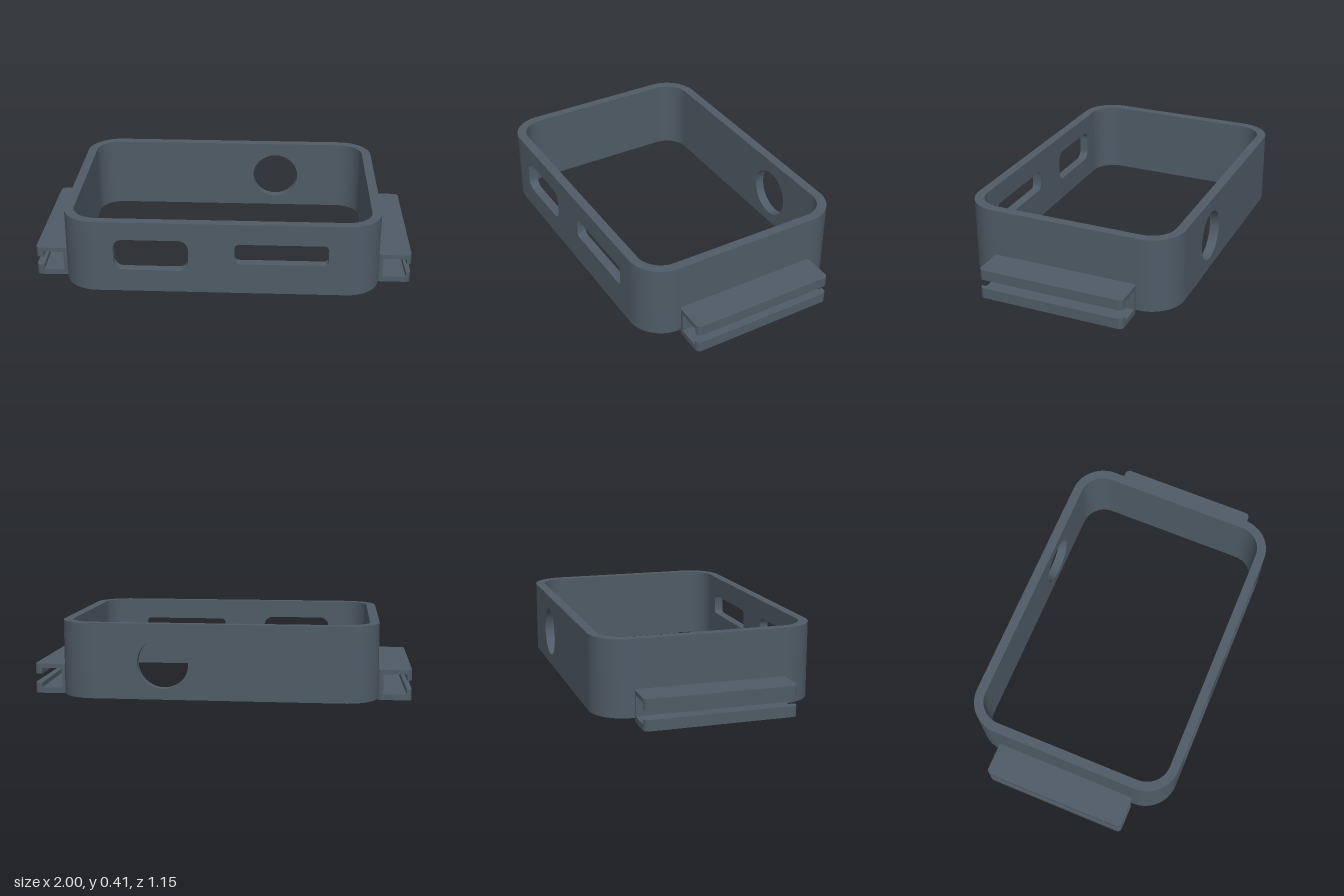
import * as THREE from 'three';
import { toCreasedNormals } from 'three/addons/utils/BufferGeometryUtils.js';

const slate = new THREE.MeshStandardMaterial({ color: 0x4f5b66 });
slate.name = 'slate';

// Frame: half width, half depth, wall, corner radius, bottom and top
const W = 0.827, D = 0.576, T = 0.05, R = 0.18, Y0 = 0.015, Y1 = 0.408;

// Rounded rectangle; radii run bottom left, bottom right, top right, top left
function roundRect(path, x0, y0, x1, y1, radii) {
  const corners = [[x0, y0, 1, 1], [x1, y0, -1, 1], [x1, y1, -1, -1], [x0, y1, 1, -1]];
  corners.forEach(([x, y, sx, sy], i) => {
    const r = radii[i], a = Math.PI * (1 + i / 2);
    if (r) path.absarc(x + sx * r, y + sy * r, r, a, a + Math.PI / 2, false);
    else if (i) path.lineTo(x, y);
    else path.moveTo(x, y);
  });
  path.closePath();
  return path;
}

function extrude(name, shape, depth) {
  const geo = new THREE.ExtrudeGeometry(shape, { depth, bevelEnabled: false, curveSegments: 16 });
  const mesh = new THREE.Mesh(toCreasedNormals(geo, 0.5), slate);
  mesh.name = name;
  return mesh;
}

// Extrude a plan outline upwards from y0 to y1
function slab(name, shape, y0, y1) {
  const mesh = extrude(name, shape, y1 - y0);
  mesh.geometry.rotateX(-Math.PI / 2);
  mesh.position.y = y0;
  return mesh;
}

// Long wall between the rounded corners, with openings
function longWall(name, z, holes) {
  const shape = roundRect(new THREE.Shape(), -(W - R), Y0, W - R, Y1, [0, 0, 0, 0]);
  shape.holes.push(...holes);
  const mesh = extrude(name, shape, T);
  mesh.position.z = z;
  return mesh;
}

// Short wall together with its two rounded corners
function endWall(name) {
  const cx = W - R, cz = D - R, h = Math.PI / 2;
  const s = new THREE.Shape();
  s.moveTo(cx, -D);
  s.absarc(cx, -cz, R, -h, 0, false);
  s.absarc(cx, cz, R, 0, h, false);
  s.lineTo(cx, D - T);
  s.absarc(cx, cz, R - T, h, 0, true);
  s.absarc(cx, -cz, R - T, 0, -h, true);
  s.closePath();
  return slab(name, s, Y0, Y1);
}

// C-shaped strap channel, stacked from plan slabs
function strapChannel(name) {
  const g = new THREE.Group();
  g.name = name;
  const L = 0.391, xIn = 0.82, xWeb = 0.853, xLip = 0.96, r = 0.025;
  const plan = (x0, x1, radii) => roundRect(new THREE.Shape(), x0, -L, x1, L, radii);
  const plate = plan(xIn, 1, [r, r, r, r]);
  const web = plan(xIn, xWeb, [r, 0, 0, r]);
  const lip = plan(xLip, 1, [0, r, r, 0]);
  g.add(
    slab('channelFloor', plate, 0, 0.03),
    slab('channelWeb', web, 0.03, 0.136),
    slab('channelLowerLip', lip, 0.03, 0.056),
    slab('channelUpperLip', lip, 0.104, 0.136),
    slab('channelRoof', plate, 0.136, 0.159)
  );
  return g;
}

export function createModel() {
  const model = new THREE.Group();
  model.name = 'strapFrame';

  // Front wall with two slots, back wall with a round hole
  const wideSlot = roundRect(new THREE.Path(), -0.555, 0.138, -0.168, 0.31, [0.05, 0.05, 0.05, 0.05]);
  const thinSlot = roundRect(new THREE.Path(), 0.07, 0.184, 0.553, 0.296, [0.025, 0.025, 0.025, 0.025]);
  const roundHole = new THREE.Path().absarc(0.275, 0.204, 0.133, 0, Math.PI * 2, false);
  model.add(longWall('frontWall', D - T, [wideSlot, thinSlot]));
  model.add(longWall('backWall', -D, [roundHole]));

  // Ends and strap channels, turned half round for the right side
  for (const [side, angle] of [['left', 0], ['right', Math.PI]]) {
    const end = new THREE.Group();
    end.name = side + 'End';
    end.add(endWall(side + 'EndWall'), strapChannel(side + 'StrapChannel'));
    end.rotation.y = angle;
    model.add(end);
  }
  return model;
}
